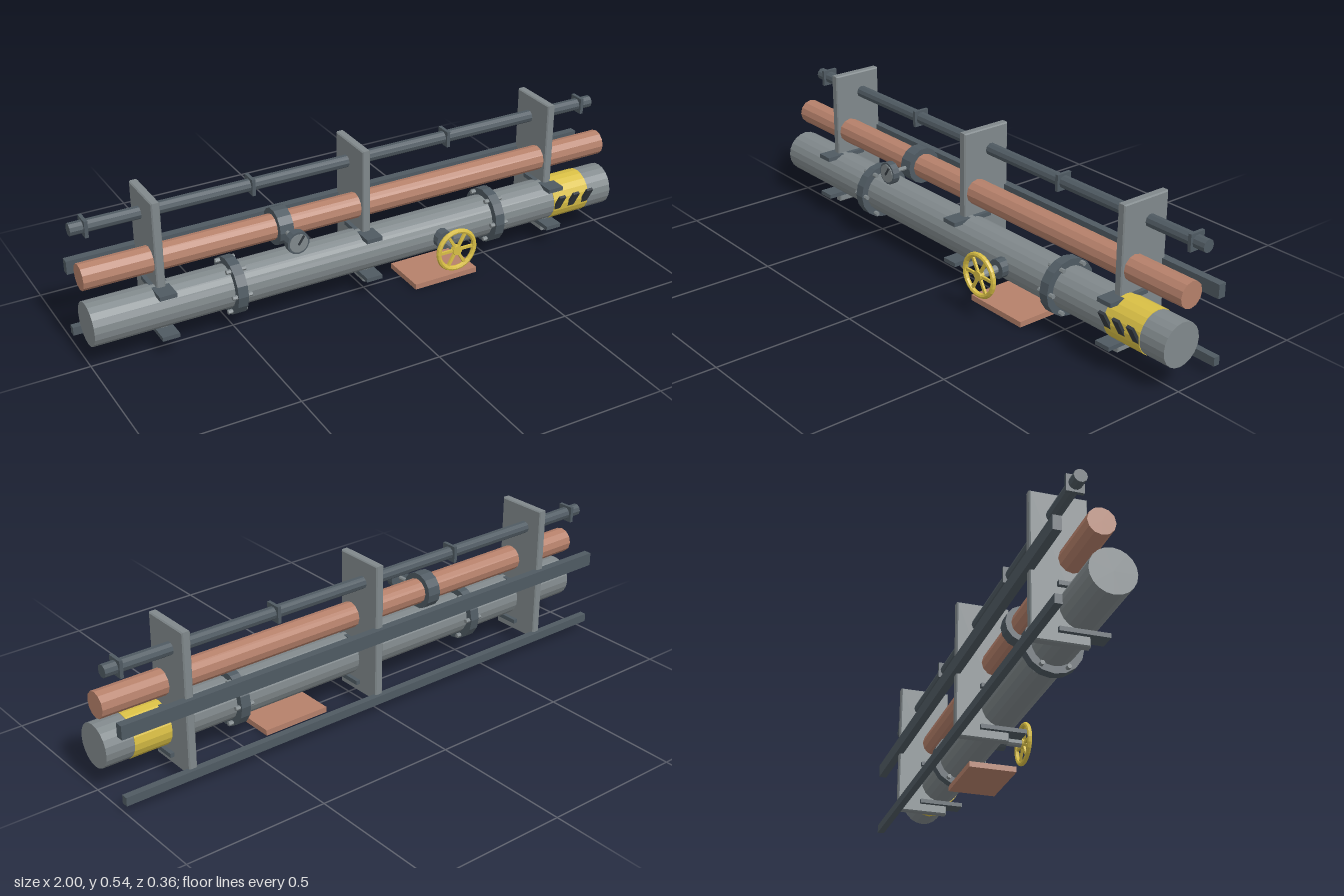
import * as THREE from 'three';

const mat = (name, color) => {
  const m = new THREE.MeshStandardMaterial({ color, flatShading: true });
  m.name = name;
  return m;
};

export function createModel() {
  const steel = mat('steel grey', 0x80888b);
  const dark = mat('dark iron', 0x4f5a62);
  const copper = mat('copper', 0xb5806a);
  const yellow = mat('safety yellow', 0xd9bf45);
  const black = mat('stripe black', 0x343a40);
  const root = new THREE.Group();
  root.name = 'pipeRack';

  const add = (name, geo, material, x, y, z, parent = root) => {
    const m = new THREE.Mesh(geo, material);
    m.name = name;
    m.position.set(x, y, z);
    parent.add(m);
    return m;
  };
  const box = (name, material, w, h, d, x, y, z, parent) =>
    add(name, new THREE.BoxGeometry(w, h, d), material, x, y, z, parent);
  // cylinders lying along x or along z
  const rodX = (name, material, r, len, sides, x, y, z) =>
    add(name, new THREE.CylinderGeometry(r, r, len, sides).rotateZ(Math.PI / 2), material, x, y, z);
  const rodZ = (name, material, r, z0, z1, sides, x, y) =>
    add(name, new THREE.CylinderGeometry(r, r, z1 - z0, sides).rotateX(Math.PI / 2), material, x, y, (z0 + z1) / 2);

  // long pipes
  const mainY = 0.16;
  rodX('mainPipe', steel, 0.075, 2, 20, 0, mainY, 0);
  rodX('copperPipe', copper, 0.045, 2, 12, 0, 0.316, -0.03);
  rodX('conduit', dark, 0.022, 2, 10, 0, 0.456, -0.09);
  for (const x of [-0.95, -0.375, 0.375, 0.95])
    box('conduitClamp', dark, 0.012, 0.058, 0.058, x, 0.456, -0.09);

  // rear rails
  box('upperRail', dark, 2, 0.048, 0.028, 0, 0.286, -0.165);
  box('lowerRail', dark, 2, 0.03, 0.024, 0, 0.045, -0.165);

  // support plates with bevelled edges, and saddles above and below the pipe
  const b = 0.004;
  const outline = new THREE.Shape([
    new THREE.Vector2(-0.023 + b, 0.037 + b), new THREE.Vector2(0.164 - b, 0.037 + b),
    new THREE.Vector2(0.164 - b, 0.535 - b), new THREE.Vector2(-0.023 + b, 0.535 - b),
  ]);
  const plateGeo = new THREE.ExtrudeGeometry(outline, {
    depth: 0.022, bevelEnabled: true, bevelSize: b, bevelThickness: b, bevelSegments: 1,
  }).translate(0, 0, -0.011).rotateY(Math.PI / 2);
  for (const x of [-0.75, 0, 0.75]) {
    add('supportPlate', plateGeo, steel, x, 0, 0);
    for (const y of [0.226, 0.076]) box('saddle', dark, 0.06, 0.015, 0.16, x, y, 0);
  }

  // bolted flanges
  for (const x of [-0.5, 0.5]) {
    rodX('flange', dark, 0.1, 0.036, 16, x, mainY, 0);
    for (let i = 0; i < 6; i++) {
      const a = i * Math.PI / 3;
      rodX('flangeBolt', steel, 0.008, 0.07, 6, x, mainY + 0.087 * Math.sin(a), 0.087 * Math.cos(a));
    }
  }

  // warning band with three tilted stripes
  rodX('warningBand', yellow, 0.077, 0.15, 20, 0.825, mainY, 0);
  for (const x of [0.765, 0.825, 0.885])
    box('warningStripe', black, 0.026, 0.085, 0.01, x, 0.168, 0.082).rotation.x = 0.5;

  // valve with handwheel
  rodZ('valveBonnet', dark, 0.034, 0.05, 0.1, 12, 0.27, mainY);
  rodZ('valveStem', steel, 0.014, 0.06, 0.17, 10, 0.27, mainY);
  const wheel = new THREE.Group();
  wheel.name = 'handwheel';
  wheel.position.set(0.27, mainY, 0.171);
  root.add(wheel);
  add('wheelRim', new THREE.TorusGeometry(0.071, 0.009, 8, 24), yellow, 0, 0, 0, wheel);
  add('wheelHub', new THREE.CylinderGeometry(0.018, 0.018, 0.018, 10).rotateX(Math.PI / 2), yellow, 0, 0, 0, wheel);
  for (let i = 0; i < 3; i++)
    box('wheelSpoke', yellow, 0.14, 0.01, 0.008, 0, 0, 0, wheel).rotation.z = i * Math.PI / 3;

  // gauge on its collar
  const gx = -0.305, gy = 0.316;
  rodX('gaugeCollar', dark, 0.065, 0.05, 14, gx, gy, -0.03);
  rodZ('gaugeStem', steel, 0.008, 0.02, 0.1, 8, gx, gy);
  rodZ('gaugeCase', dark, 0.04, 0.088, 0.114, 14, gx, gy);
  rodZ('gaugeFace', steel, 0.033, 0.112, 0.117, 14, gx, gy);
  box('gaugeNeedle', black, 0.006, 0.036, 0.005, gx + 0.008, gy + 0.011, 0.119).rotation.z = -0.6;

  // drip tray under the valve
  box('dripTray', copper, 0.25, 0.02, 0.17, 0.275, 0.01, 0.02);

  return root;
}
